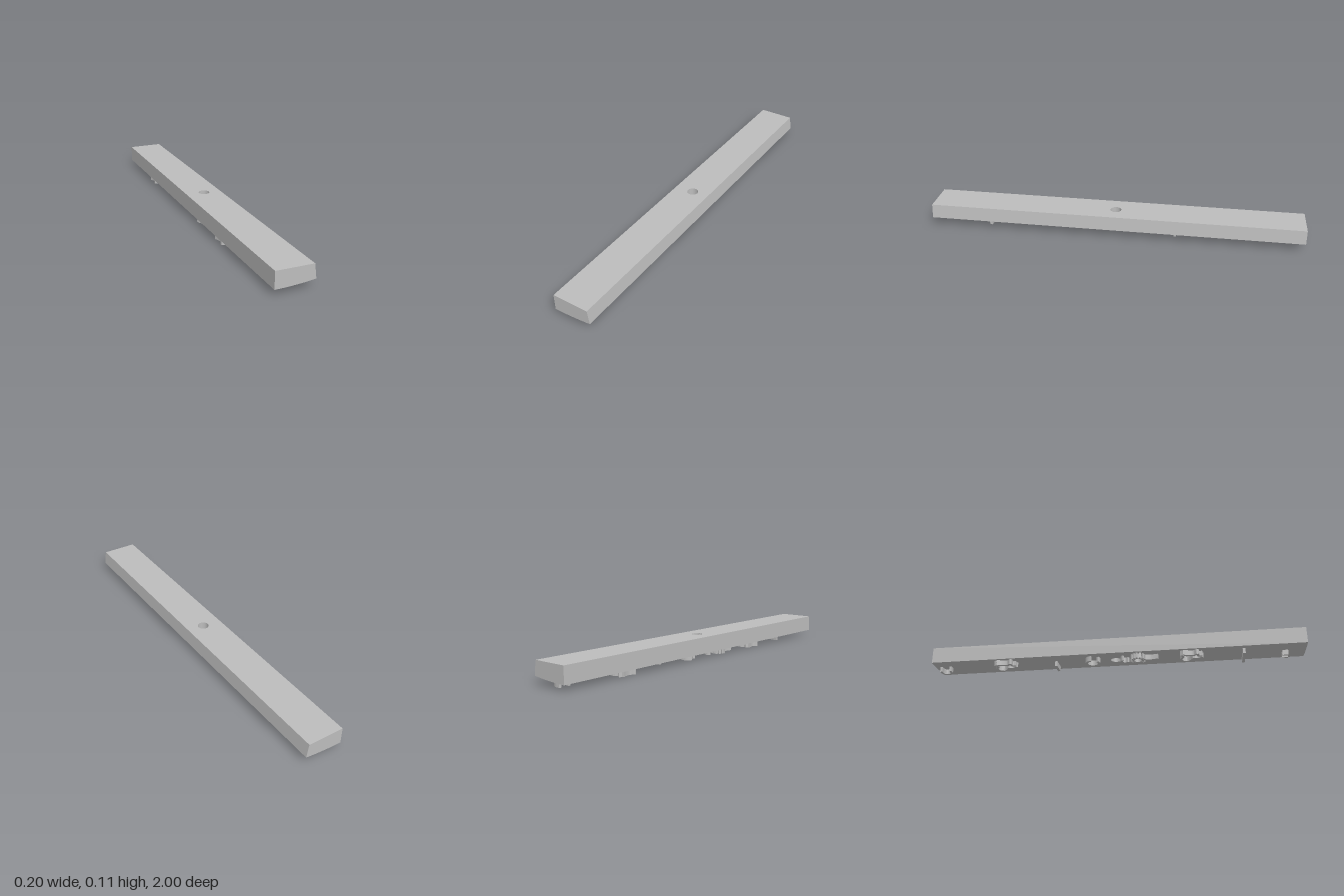
import * as THREE from 'three';
import { mergeGeometries } from 'three/addons/utils/BufferGeometryUtils.js';

const TOP = 0.115;
const RELIEF = 0.028;

// Height of the gently curved underside at a given x
const underside = (x) => 0.028 + 0.014 * ((x + 0.1) / 0.2) ** 2;

// Extrude a plan shape (x, z) downwards from y = 0
function extrudeDown(shape, depth) {
  const geo = new THREE.ExtrudeGeometry(shape, { depth, bevelEnabled: false, curveSegments: 20 });
  return geo.rotateX(Math.PI / 2);
}

function moveVertices(geo, rule) {
  const p = geo.attributes.position;
  const v = new THREE.Vector3();
  for (let i = 0; i < p.count; i++) {
    rule(v.fromBufferAttribute(p, i));
    p.setXYZ(i, v.x, v.y, v.z);
  }
  geo.computeVertexNormals();
  return geo;
}

// Long bar: strips follow the underside curve, the middle strip holds the bore
function barGeometry() {
  const edges = [-0.1, -0.066, -0.032, 0.032, 0.055, 0.078, 0.1];
  const strips = edges.slice(0, -1).map((a, i) => {
    const b = edges[i + 1];
    const shape = new THREE.Shape([[a, -1], [b, -1], [b, 1], [a, 1]].map((q) => new THREE.Vector2(...q)));
    if (a < 0 && b > 0) {
      shape.holes.push(new THREE.Path().absarc(0, 0, 0.029, 0, Math.PI * 2, true));
    }
    return moveVertices(extrudeDown(shape, 1), (v) => {
      const t = 1 + v.y;
      v.y = THREE.MathUtils.lerp(underside(v.x), TOP, t);
      v.x -= 0.01 * t * THREE.MathUtils.clamp((v.x - 0.032) / 0.068, 0, 1);
    });
  });
  return mergeGeometries(strips);
}

// Raised relief of even height that follows the underside
function reliefGeometry(shape) {
  return moveVertices(extrudeDown(shape, RELIEF + 0.004), (v) => {
    v.y += underside(v.x) + 0.004;
  });
}

// Ribbon shape of a given width along a smooth line of [x, z] points
function ribbon(points, width, steps = 28) {
  const curve = new THREE.SplineCurve(points.map((q) => new THREE.Vector2(...q)));
  const left = [], right = [];
  for (let i = 0; i <= steps; i++) {
    const p = curve.getPoint(i / steps);
    const t = curve.getTangent(i / steps);
    const n = new THREE.Vector2(-t.y, t.x).multiplyScalar(width / 2);
    left.push(p.clone().add(n));
    right.unshift(p.clone().sub(n));
  }
  return new THREE.Shape([...left, ...right]);
}

// Points along an arc in plan
function arc(cx, cz, r, from, to, n = 12) {
  return Array.from({ length: n + 1 }, (_, i) => {
    const a = from + ((to - from) * i) / n;
    return [cx + r * Math.cos(a), cz + r * Math.sin(a)];
  });
}

export function createModel() {
  const model = new THREE.Group();
  const grey = new THREE.MeshStandardMaterial({ color: 0xbcbcbc });
  grey.name = 'plain grey';

  const add = (name, geo) => {
    const mesh = new THREE.Mesh(geo, grey);
    mesh.name = name;
    model.add(mesh);
  };
  const stroke = (name, points, width, steps) => add(name, reliefGeometry(ribbon(points, width, steps)));

  add('bar', barGeometry());

  // Pair of small ticks near the front end
  for (const x of [-0.01, 0.028]) stroke('smallTick', [[x, 0.878], [x, 0.908]], 0.014, 1);

  // Thin cross ribs
  stroke('longRib', [[-0.07, 0.678], [0.075, 0.678]], 0.014, 6);
  stroke('shortRib', [[-0.03, -0.325], [0.057, -0.325]], 0.014, 4);

  // Two matching curled ornaments
  for (const z of [0.405, -0.595]) {
    const at = (list) => list.map(([x, dz]) => [x, z + dz]);
    stroke('ornamentCurl', at([
      [-0.08, -0.055], [-0.06, -0.042], [-0.035, -0.055], [-0.008, -0.052],
      [0.008, -0.025], [-0.008, -0.002], [-0.03, 0.01], [-0.028, 0.035], [-0.045, 0.058],
    ]), 0.013);
    stroke('ornamentTip', at([
      [-0.06, 0.056], [-0.062, 0.036], [-0.087, 0.032], [-0.072, 0.012], [-0.075, -0.018], [-0.085, -0.045],
    ]), 0.012);
  }

  // Toothed ring
  const teeth = 14;
  const outline = [];
  for (let i = 0; i < teeth; i++) {
    [[0, 0.042], [0.5, 0.042], [0.5, 0.03], [1, 0.03]].forEach(([f, r]) => {
      const a = ((i + f) / teeth) * Math.PI * 2;
      outline.push(new THREE.Vector2(-0.045 + r * Math.cos(a), 0.122 + r * Math.sin(a)));
    });
  }
  const gear = new THREE.Shape(outline);
  gear.holes.push(new THREE.Path().absarc(-0.045, 0.122, 0.021, 0, Math.PI * 2, true));
  add('toothedRing', reliefGeometry(gear));

  // Tail and small arch on either side of the toothed ring
  stroke('ringTail', [[-0.05, 0.152], [-0.045, 0.19], [-0.052, 0.228]], 0.014);
  stroke('smallArch', arc(-0.04, 0.052, 0.018, -Math.PI * 0.85, Math.PI * 0.35), 0.012);

  // Open ring beside the bore
  stroke('openRing', arc(-0.036, -0.122, 0.034, -Math.PI * 0.95, Math.PI * 0.72, 20), 0.013, 36);

  // Arch near the back end
  stroke('endArch', [
    [-0.035, -0.968], [-0.01, -0.968], [0.01, -0.958], [0.016, -0.942], [0.01, -0.926], [-0.01, -0.917], [-0.035, -0.917],
  ], 0.013);

  return model;
}
